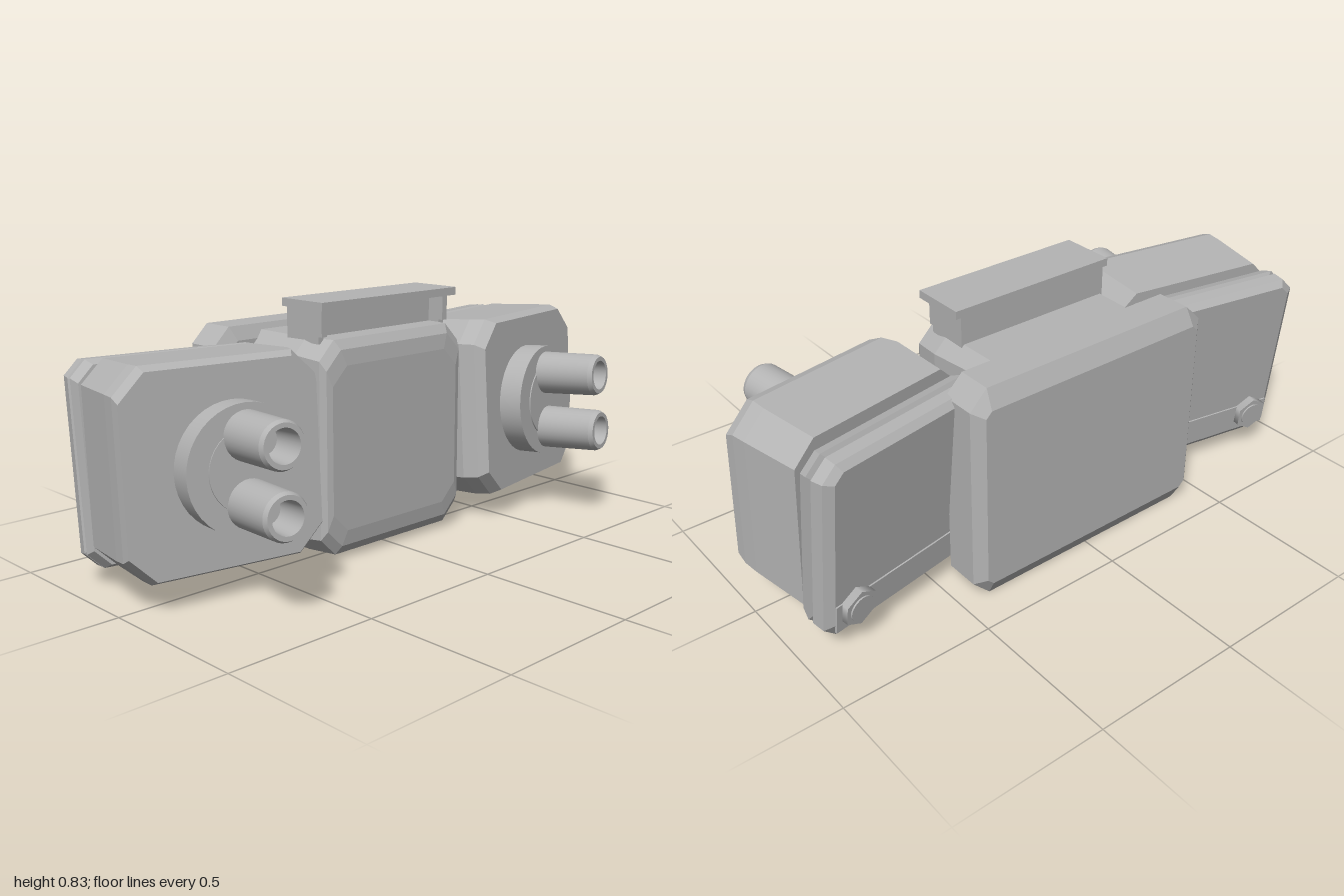
import * as THREE from 'three';

const grey = new THREE.MeshStandardMaterial({ color: 0xb4b4b4 });
grey.name = 'plain grey';

function add(parent, name, geometry, x = 0, y = 0, z = 0) {
  const mesh = new THREE.Mesh(geometry, grey);
  mesh.name = name;
  mesh.position.set(x, y, z);
  parent.add(mesh);
  return mesh;
}

// Octagon with cut corners, counter-clockwise seen from +z
function octagon([z, x0, x1, y0, y1, c]) {
  return [
    [x0 + c, y0, z], [x1 - c, y0, z], [x1, y0 + c, z], [x1, y1 - c, z],
    [x1 - c, y1, z], [x0 + c, y1, z], [x0, y1 - c, z], [x0, y0 + c, z],
  ];
}

// Faceted solid through octagon sections [z, x0, x1, y0, y1, cut], back to front
function loft(sections, side = 1) {
  const rings = sections.map(([z, a, b, ...rest]) =>
    octagon(side > 0 ? [z, a, b, ...rest] : [z, -b, -a, ...rest]));
  const points = [];
  const tri = (a, b, c) => points.push(...a, ...b, ...c);
  for (let i = 0; i < rings.length - 1; i++) {
    for (let j = 0; j < 8; j++) {
      const k = (j + 1) % 8;
      tri(rings[i][j], rings[i][k], rings[i + 1][k]);
      tri(rings[i][j], rings[i + 1][k], rings[i + 1][j]);
    }
  }
  const back = rings[0], front = rings[rings.length - 1];
  for (let j = 1; j < 7; j++) {
    tri(back[0], back[j + 1], back[j]);
    tri(front[0], front[j], front[j + 1]);
  }
  const geometry = new THREE.BufferGeometry();
  geometry.setAttribute('position', new THREE.Float32BufferAttribute(points, 3));
  geometry.computeVertexNormals();
  return geometry;
}

// Cylinder lying along z, starting at z = 0
function rod(radius, length, sides = 40) {
  return new THREE.CylinderGeometry(radius, radius, length, sides)
    .rotateX(Math.PI / 2).translate(0, 0, length / 2);
}

// Hollow barrel along z; each profile edge is its own lathe so rims stay crisp
function barrel(parent, x, y, z) {
  const group = new THREE.Group();
  group.name = 'barrel';
  group.position.set(x, y, z);
  const profile = [[0.074, 0], [0.071, 0.205], [0.064, 0.22], [0.05, 0.22], [0.044, 0.1], [0, 0.1]];
  for (let i = 0; i < profile.length - 1; i++) {
    const edge = [profile[i], profile[i + 1]].map(([r, h]) => new THREE.Vector2(r, h));
    add(group, 'barrelSurface', new THREE.LatheGeometry(edge, 32).rotateX(Math.PI / 2));
  }
  parent.add(group);
}

function sidePod(side) {
  const pod = new THREE.Group();
  pod.name = side > 0 ? 'leftPod' : 'rightPod';
  pod.position.y = 0.385;
  pod.rotation.set(-0.061, side * 0.175, 0, 'YXZ');

  // Housing with bevelled front and deep inner bevel
  add(pod, 'podHousing', loft([
    [-0.06, 0.345, 0.965, -0.31, 0.31, 0.07],
    [0.14, 0.32, 0.975, -0.31, 0.31, 0.075],
    [0.19, 0.335, 0.975, -0.31, 0.31, 0.078],
    [0.225, 0.352, 0.972, -0.295, 0.295, 0.08],
  ], side));

  // Round flange carrying two barrels
  const cx = side * 0.632;
  add(pod, 'flange', rod(0.192, 0.1), cx, 0, 0.205);
  add(pod, 'flangeDisc', rod(0.125, 0.005), cx, 0, 0.304);
  for (const y of [0.098, -0.098]) barrel(pod, cx, y, 0.295);

  // Spacer between housing and rear cover
  add(pod, 'spacerDisc', rod(0.08, 0.04, 24), side * 0.84, 0.15, -0.095);
  add(pod, 'lowerLip', new THREE.BoxGeometry(0.45, 0.04, 0.16), side * 0.62, -0.305, -0.05);

  // Rear cover, leaning a little more than the housing
  const cover = new THREE.Group();
  cover.name = 'rearCover';
  cover.rotation.x = -0.05;
  pod.add(cover);
  add(cover, 'coverShell', loft([
    [-0.185, 0.36, 0.945, -0.285, 0.29, 0.03],
    [-0.165, 0.335, 0.972, -0.315, 0.31, 0.045],
    [-0.125, 0.335, 0.976, -0.315, 0.31, 0.05],
    [-0.115, 0.345, 0.96, -0.3, 0.295, 0.05],
    [-0.105, 0.335, 0.976, -0.315, 0.31, 0.05],
    [-0.07, 0.345, 0.965, -0.3, 0.295, 0.05],
  ], side));
  add(cover, 'lowerCoverPlate', new THREE.BoxGeometry(0.585, 0.1, 0.008), side * 0.652, -0.232, -0.186);
  add(cover, 'bolt', rod(0.062, 0.03, 6), side * 0.87, -0.215, -0.212);
  add(cover, 'boltCap', rod(0.042, 0.006, 24), side * 0.87, -0.215, -0.217);
  return pod;
}

export function createModel() {
  const model = new THREE.Group();
  model.name = 'model';

  // Central body
  add(model, 'centreBody', loft([
    [-0.26, -0.31, 0.31, 0.02, 0.71, 0.04],
    [-0.02, -0.325, 0.325, 0.02, 0.71, 0.05],
    [0.08, -0.312, 0.312, 0.02, 0.71, 0.06],
    [0.1, -0.3, 0.3, 0.05, 0.68, 0.06],
    [0.106, -0.28, 0.28, 0.1, 0.63, 0.06],
  ]));

  // Large bevelled back plate
  add(model, 'backPlate', loft([
    [-0.4, -0.42, 0.42, 0.055, 0.67, 0.02],
    [-0.37, -0.455, 0.455, 0, 0.73, 0.06],
    [-0.255, -0.455, 0.455, 0, 0.73, 0.06],
    [-0.235, -0.425, 0.425, 0.045, 0.685, 0.05],
  ]));

  // Open-fronted top mount
  add(model, 'mountLid', new THREE.BoxGeometry(0.6, 0.026, 0.186), 0, 0.815, -0.01);
  add(model, 'mountBack', new THREE.BoxGeometry(0.56, 0.11, 0.1), 0, 0.753, -0.052);
  for (const side of [1, -1]) {
    add(model, 'mountEnd', new THREE.BoxGeometry(0.022, 0.086, 0.162), side * 0.271, 0.761, -0.021);
    add(model, 'mountEndFoot', new THREE.BoxGeometry(0.022, 0.03, 0.146), side * 0.271, 0.71, -0.029);
    model.add(sidePod(side));
  }
  return model;
}
